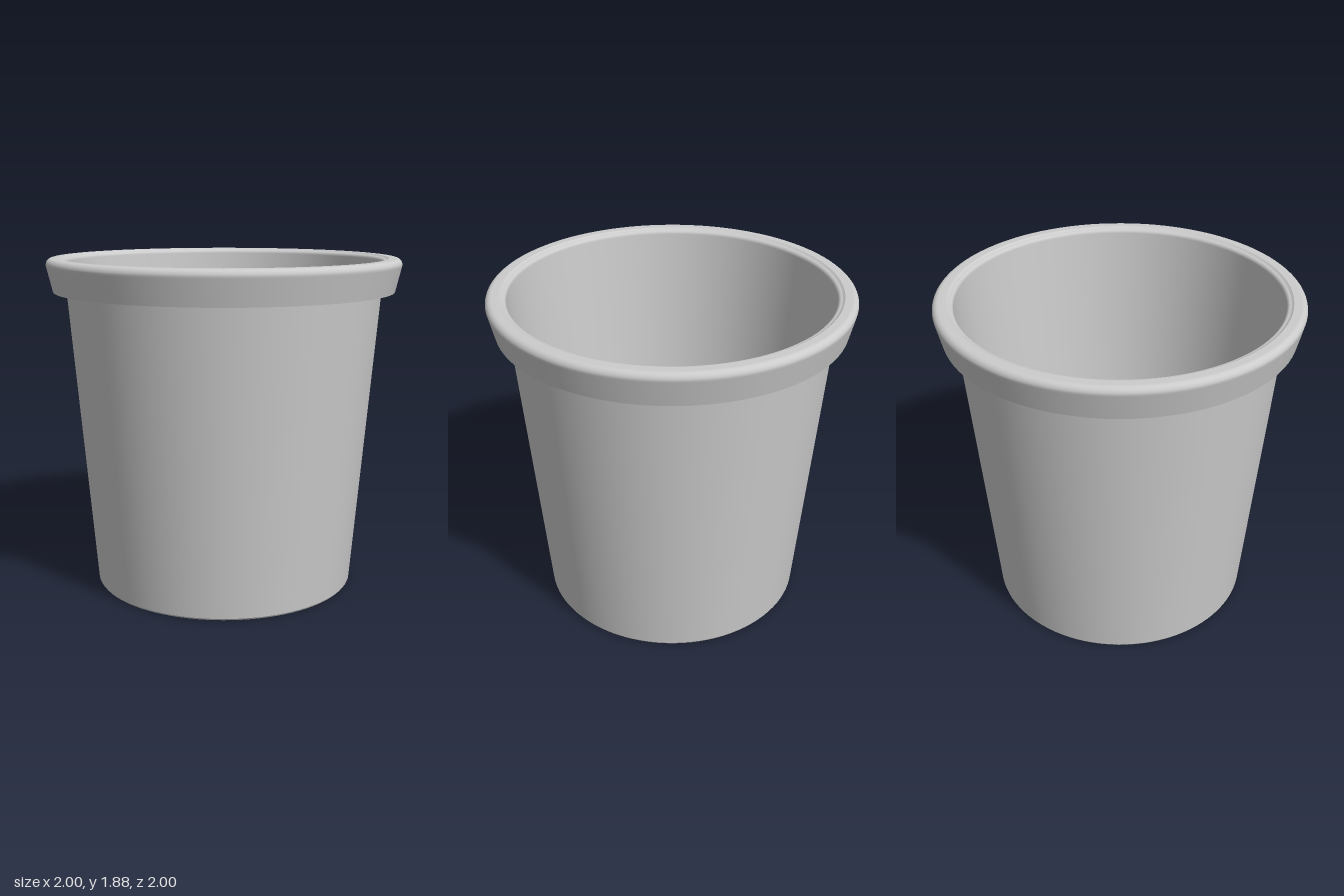
import * as THREE from 'three';
import { mergeGeometries } from 'three/addons/utils/BufferGeometryUtils.js';

const SEGMENTS = 96;

// Each section is one smooth strip of the profile; joins between sections stay sharp.
function revolve(name, sections, material) {
  const strips = sections.map((points) =>
    new THREE.LatheGeometry(points.map(([r, y]) => new THREE.Vector2(r, y)), SEGMENTS));
  const mesh = new THREE.Mesh(mergeGeometries(strips), material);
  mesh.name = name;
  return mesh;
}

// Points of a rounded corner from angle a to b (degrees)
function corner(cx, cy, rx, ry, a, b, steps = 8) {
  return Array.from({ length: steps + 1 }, (_, i) => {
    const t = THREE.MathUtils.degToRad(a + ((b - a) * i) / steps);
    return [cx + rx * Math.cos(t), cy + ry * Math.sin(t)];
  });
}

export function createModel() {
  const group = new THREE.Group();
  group.name = 'tub';
  const material = new THREE.MeshStandardMaterial({ color: 0xcccccc });

  // Underside with a tiny bevel, then the tapered outer wall
  group.add(revolve('outerWall', [
    [[0, 0], [0.745, 0]],
    [[0.745, 0], [0.752, 0.01]],
    [[0.752, 0.01], [0.903, 1.85]],
  ], material));

  // Overhanging rim: hollow skirt, rounded shoulder and shallow inner bevel
  group.add(revolve('rim', [
    [[0.903, 1.85], [0.965, 1.85]],
    [[0.965, 1.85], [0.978, 1.835], [0.948, 1.7]],
    [[0.948, 1.7], [0.965, 1.7]],
    [[0.965, 1.7], [0.998, 1.84], ...corner(0.965, 1.85, 0.035, 0.035, 0, 90), [0.925, 1.885]],
    [[0.925, 1.885], ...corner(0.91, 1.855, 0.022, 0.022, 80, 180)],
  ], material));

  // Inner wall and floor
  group.add(revolve('innerWall', [
    [[0.888, 1.855], [0.73, 0.02]],
  ], material));
  group.add(revolve('floor', [
    [[0.73, 0.02], [0, 0.02]],
  ], material));

  return group;
}
